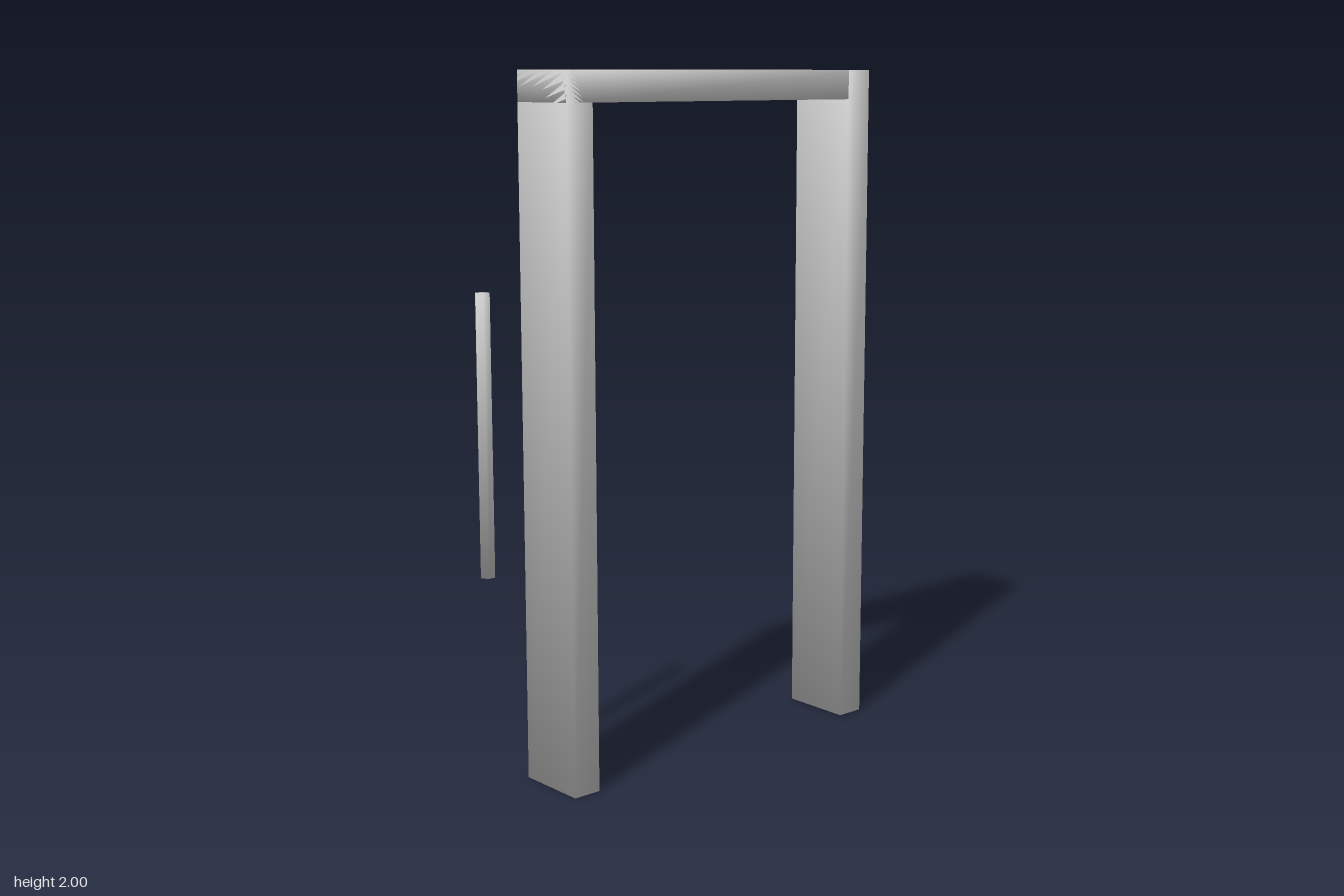
import * as THREE from 'three';

// Replace the normals by a rule on the vertex position, the same on every face
// that meets at a corner, so shading runs smoothly across the edges
function smoothNormals(geometry, rule) {
  const { position, normal } = geometry.attributes;
  const v = new THREE.Vector3();
  for (let i = 0; i < position.count; i++) {
    rule(v.fromBufferAttribute(position, i)).normalize();
    normal.setXYZ(i, v.x, v.y, v.z);
  }
  return geometry;
}

// Box given by its [min, max] range on each axis; corner normals point diagonally out
function box(name, [x0, x1], [y0, y1], [z0, z1], material) {
  const geometry = new THREE.BoxGeometry(x1 - x0, y1 - y0, z1 - z0);
  smoothNormals(geometry, (v) => v.set(Math.sign(v.x), Math.sign(v.y), Math.sign(v.z)));
  const mesh = new THREE.Mesh(geometry, material);
  mesh.position.set((x0 + x1) / 2, (y0 + y1) / 2, (z0 + z1) / 2);
  mesh.name = name;
  return mesh;
}

export function createModel() {
  const group = new THREE.Group();
  group.name = 'doorFrame';
  const grey = new THREE.MeshStandardMaterial({ color: 0xcccccc });
  const dark = new THREE.MeshStandardMaterial({ color: 0x77787d });

  // Frame: two posts and a lintel spanning both
  const left = 0.534, right = -0.605, thick = 0.086, height = 2;
  const depth = [-0.063, 0.155];
  group.add(
    box('rightPost', [right, right + thick], [0, height], depth, grey),
    box('leftPost', [left - thick, left], [0, height], depth, grey),
    box('lintel', [right, left], [height - thick, height], depth, grey)
  );

  // Free-standing hexagonal pull bar, rims shaded outwards and towards the ends
  const radius = 0.022;
  const barShape = new THREE.CylinderGeometry(radius, radius, 0.8, 6);
  smoothNormals(barShape, (v) => v.set(v.x / radius, 0.77 * Math.sign(v.y), v.z / radius));
  const bar = new THREE.Mesh(barShape, grey);
  bar.rotation.y = Math.PI / 2;
  bar.position.set(-0.698, 1, -0.112);
  bar.name = 'pullBar';
  group.add(bar);

  // Wall-mounted control box
  group.add(box('controlBox', [0.572, 0.717], [1.09, 1.29], [-0.158, -0.085], dark));

  return group;
}
